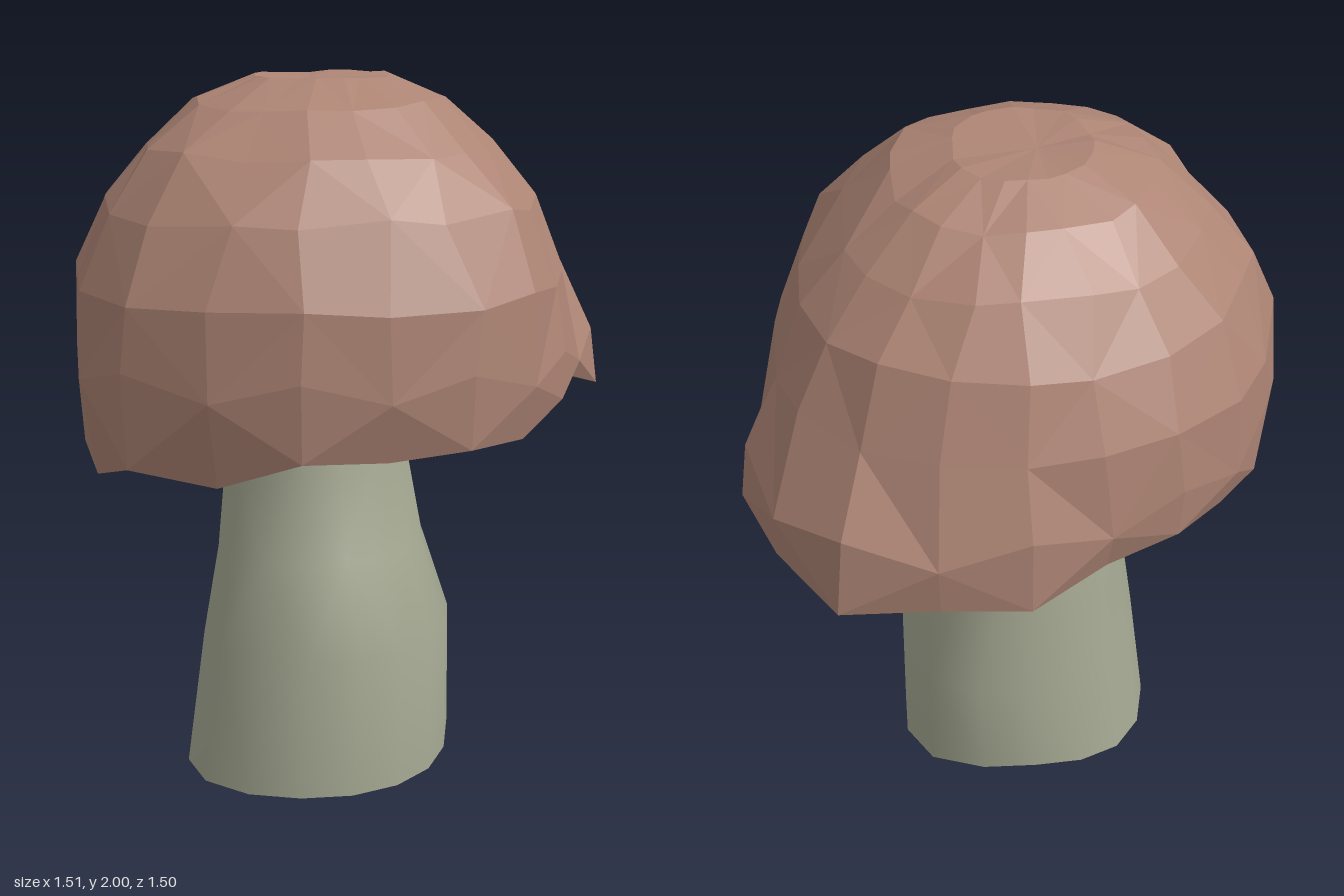
import * as THREE from 'three';

const CAP = new THREE.MeshStandardMaterial({ color: 0xae8575, flatShading: true });
const STEM = new THREE.MeshStandardMaterial({ color: 0xa6aa93 });
const STEM_BASE = new THREE.MeshStandardMaterial({ color: 0xa6aa93, flatShading: true });

// Seeded noise in -1..1
function makeNoise(seed) {
  return () => {
    seed = (seed * 16807) % 2147483647;
    return (seed / 2147483647) * 2 - 1;
  };
}

// Joins closed rings of [x, y, z] points, listed from the top down, then inwards
function loft(rings) {
  const n = rings[0].length;
  const index = [];
  for (let i = 0; i < rings.length - 1; i++) {
    for (let j = 0; j < n; j++) {
      const k = (j + 1) % n;
      const a = i * n + j, b = i * n + k, c = a + n, d = b + n;
      // alternating diagonals give an irregular faceting
      if ((i + j) % 2) index.push(a, b, c, b, d, c);
      else index.push(a, b, d, a, d, c);
    }
  }
  const g = new THREE.BufferGeometry();
  g.setAttribute('position', new THREE.Float32BufferAttribute(rings.flat(2), 3));
  g.setIndex(index);
  g.computeVertexNormals();
  return g;
}

// Cap outline radius and rim height every 18 degrees, from +x towards +z
const RADIUS = [0.715, 0.70, 0.725, 0.735, 0.735, 0.76, 0.78, 0.82, 0.79, 0.735,
  0.755, 0.72, 0.715, 0.70, 0.70, 0.745, 0.80, 0.85, 0.845, 0.795];
const RIM = [1.15, 1.13, 1.06, 1.07, 1.05, 1.06, 0.98, 1.01, 0.94, 0.98,
  1.0, 1.06, 1.09, 1.12, 1.09, 1.04, 1.05, 1.02, 1.06, 1.08];

function capGeometry() {
  const noise = makeNoise(77);
  const n = RADIUS.length;
  const ring = (place) => RADIUS.map((R, j) => {
    const t = (j / n) * Math.PI * 2;
    const flare = Math.max(0, Math.cos(t - Math.PI * 1.75)) ** 2;
    const [r, y, cx = 0, twist = 0] = place(R, RIM[j], flare, j);
    return [cx + r * Math.cos(t + twist), y, r * Math.sin(t + twist)];
  });
  const rings = [ring(() => [0, 1.985, -0.07])];
  // dome: [fraction of radius, height]
  const dome = [[0.27, 1.995], [0.5, 1.925], [0.7, 1.81], [0.87, 1.655], [0.985, 1.45]];
  dome.forEach(([f, y], i) => rings.push(ring((R, rim, flare) => [
    R * f * (1 - 0.17 * flare) + 0.005 * noise(),
    y + (i ? 0.015 : 0.005) * noise(), -0.03 * (1 - f), 0.05 * noise()])));
  // widest band and ragged rim
  rings.push(ring((R, rim, flare, j) =>
    [R * (1 - 0.03 * flare), 1.24 + (j % 2 ? 0.03 : -0.03) - 0.03 * flare]));
  rings.push(ring((R, rim, flare, j) =>
    [R * (0.96 + 0.03 * flare + (j % 2 ? 0.02 : -0.02)), rim]));
  // rim thickness, then nearly level gills that step up and down
  const gill = (rim, j) => 0.57 + 0.5 * rim + (j % 2 ? 0.02 : -0.015);
  rings.push(ring((R, rim, flare, j) => [R * 0.87, Math.max(gill(rim, j), rim + 0.01)]));
  rings.push(ring((R, rim, flare, j) => [0.34, gill(rim, j), -0.05]));
  // socket around the top of the stem
  rings.push(ring(() => [0.31, 1.3, -0.05]));
  rings.push(ring(() => [0, 1.31, -0.05]));
  return loft(rings);
}

// Stem cross-sections: height, x range, z range
const SECTIONS = [
  [1.33, -0.29, 0.15, -0.20, 0.22],
  [1.10, -0.31, 0.18, -0.25, 0.25],
  [0.90, -0.32, 0.21, -0.32, 0.265],
  [0.65, -0.335, 0.25, -0.345, 0.32],
  [0.40, -0.37, 0.325, -0.38, 0.395],
  [0.00, -0.42, 0.325, -0.38, 0.41],
];

function stemRings() {
  const n = 16;
  return SECTIONS.map(([y, x0, x1, z0, z1]) => Array.from({ length: n }, (_, j) => {
    const t = (j / n) * Math.PI * 2;
    // two opposite corners bulge towards the foot
    const corner = Math.cos(t - Math.PI * 1.75);
    const bulge = 1 + Math.max(0, Math.min(1, 1.3 - y)) * (corner > 0 ? 0.17 : 0.1) * corner ** 6;
    // the foot lifts off the ground at the back
    const lift = y === 0 ? 0.1 * Math.max(0, Math.cos(t - Math.PI * 1.58)) ** 2 : 0;
    return [(x0 + x1) / 2 + (x1 - x0) / 2 * bulge * Math.cos(t), y + lift,
      (z0 + z1) / 2 + (z1 - z0) / 2 * bulge * Math.sin(t)];
  }));
}

export function createModel() {
  const model = new THREE.Group();
  model.name = 'mushroom';
  const add = (name, geometry, material) => {
    const mesh = new THREE.Mesh(geometry, material);
    mesh.name = name;
    model.add(mesh);
  };

  add('cap', capGeometry(), CAP);

  const rings = stemRings();
  add('stem', loft(rings), STEM);

  // flat underside of the stem
  const foot = rings[rings.length - 1];
  add('stemBase', loft([foot, foot.map(() => [-0.04, 0.012, 0.02])]), STEM_BASE);

  return model;
}
